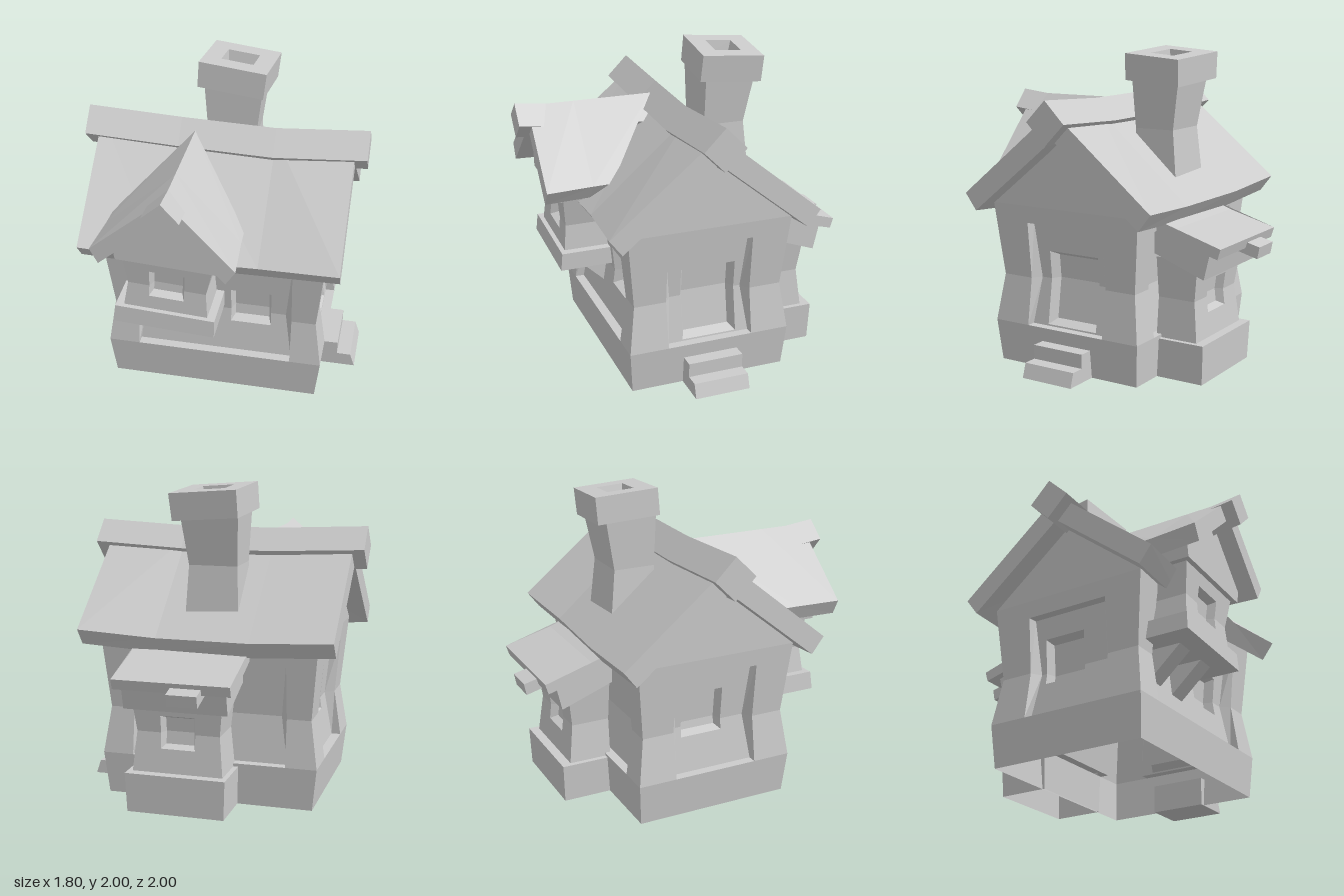
import * as THREE from 'three';

const mat = new THREE.MeshStandardMaterial({ color: 0xcccccc, flatShading: true, side: THREE.DoubleSide });

function meshFrom(name, pos) {
  const g = new THREE.BufferGeometry();
  g.setAttribute('position', new THREE.Float32BufferAttribute(pos, 3));
  g.computeVertexNormals();
  const m = new THREE.Mesh(g, mat);
  m.name = name;
  return m;
}

// Skin a row of rings of [x, y, z] points; winding is fixed by signed volume
function loft(name, rings, openStart = false) {
  const tris = [], n = rings[0].length, last = rings[rings.length - 1];
  for (let k = 0; k + 1 < rings.length; k++) {
    for (let i = 0; i < n; i++) {
      const j = (i + 1) % n, a = rings[k], b = rings[k + 1];
      tris.push([a[i], a[j], b[j]], [a[i], b[j], b[i]]);
    }
  }
  for (let i = 1; i + 1 < n; i++) {
    if (!openStart) tris.push([rings[0][0], rings[0][i + 1], rings[0][i]]);
    tris.push([last[0], last[i], last[i + 1]]);
  }
  const o = new THREE.Vector3(...rings[0][0]);
  let volume = 0;
  for (const t of tris) {
    const [a, b, c] = t.map(p => new THREE.Vector3(...p).sub(o));
    volume += a.dot(b.cross(c));
  }
  return meshFrom(name, tris.flatMap(t => (volume < 0 ? [t[0], t[2], t[1]] : t)).flat());
}

// Horizontal rectangle ring
const rect = (x0, x1, z0, z1, y) => [[x0, y, z1], [x1, y, z1], [x1, y, z0], [x0, y, z0]];
// Extrude a [z, y] outline across x
const acrossX = (name, x0, x1, outline) =>
  loft(name, [x0, x1].map(x => outline.map(([z, y]) => [x, y, z])));

// Value i of a [y, halfWidth, distance] profile at height y
function at(prof, y, i) {
  for (let k = 1; k < prof.length; k++) {
    const a = prof[k - 1], b = prof[k];
    if (y <= b[0] || k === prof.length - 1) return a[i] + (b[i] - a[i]) * (y - a[0]) / (b[0] - a[0]);
  }
}

// Curved wall facing +z with nested recesses { u0, u1, y0, y1, depth, taper }; gable adds a peak
function wall(name, prof, holes, gable) {
  const pos = [];
  const quad = (a, b, c, d) => pos.push(...a, ...b, ...c, ...a, ...c, ...d);
  const P = (u, y, inset) => [u, y, at(prof, y, 2) - inset];
  let inset = 0, y0 = prof[0][0], y1 = prof[prof.length - 1][0];
  let left = y => -at(prof, y, 1), right = y => at(prof, y, 1);
  if (gable) pos.push(...P(left(y1), y1, 0), ...P(right(y1), y1, 0), 0, gable, at(prof, y1, 2));
  const rowsOf = (a, b, extra) =>
    [...new Set([a, b, ...extra, ...prof.map(p => p[0])])].filter(y => y >= a && y <= b).sort((p, q) => p - q);

  for (const h of [...holes, null]) {
    // face around the hole
    const rows = rowsOf(y0, y1, h ? [h.y0, h.y1] : []);
    const strip = (l, r, a, b) =>
      quad(P(l(a), a, inset), P(r(a), a, inset), P(r(b), b, inset), P(l(b), b, inset));
    for (let k = 0; k + 1 < rows.length; k++) {
      const a = rows[k], b = rows[k + 1];
      if (h && a >= h.y0 && b <= h.y1) {
        strip(left, () => h.u0, a, b);
        strip(() => h.u1, right, a, b);
      } else strip(left, right, a, b);
    }
    if (!h) break;
    // returns of the hole
    const t = h.taper || 0, deep = inset + h.depth;
    const bow = y => t || Math.max(0, at(prof, h.y0, 1) - at(prof, y, 1));
    const nl = y => h.u0 + bow(y), nr = y => h.u1 - bow(y);
    const squeeze = y => Math.min(Math.max(y, h.y0 + t), h.y1 - t);
    const O = (u, y) => P(u, y, inset), I = (f, y) => P(f(squeeze(y)), squeeze(y), deep);
    const hr = rowsOf(h.y0, h.y1, []);
    for (let k = 0; k + 1 < hr.length; k++) {
      const a = hr[k], b = hr[k + 1];
      quad(O(h.u0, a), I(nl, a), I(nl, b), O(h.u0, b));
      quad(I(nr, a), O(h.u1, a), O(h.u1, b), I(nr, b));
    }
    quad(O(h.u0, h.y0), O(h.u1, h.y0), I(nr, h.y0), I(nl, h.y0));
    quad(I(nl, h.y1), I(nr, h.y1), O(h.u1, h.y1), O(h.u0, h.y1));
    inset = deep; left = nl; right = nr; y0 = h.y0 + t; y1 = h.y1 - t;
  }
  return meshFrom(name, pos);
}

const opening = (u0, u1, y0, y1, depth = 0.06, taper = 0.02) => ({ u0, u1, y0, y1, depth, taper });

function createModel() {
  const house = new THREE.Group();
  house.name = 'cottage';

  // Main body: four bowed walls with recessed panels, open underneath
  const body = new THREE.Group();
  body.name = 'body';
  body.position.z = 0.035;
  const wide = [[0, 0.67, 0.51], [0.27, 0.7, 0.53], [0.57, 0.655, 0.488], [1.04, 0.7, 0.535]];
  const narrow = wide.map(([y, x, z]) => [y, z, x]);
  const panel = u => ({ u0: -u, u1: u, y0: 0.27, y1: 0.93, depth: 0.06 });
  const sides = [
    wall('frontWall', wide, [panel(0.5), opening(0.1, 0.36, 0.48, 0.73)]),
    wall('doorWall', narrow, [panel(0.28), opening(-0.165, 0.195, 0.28, 0.75, 0.06, 0.03)], 1.5),
    wall('backWall', wide, [panel(0.5)]),
    wall('windowWall', narrow, [panel(0.28), opening(-0.2, 0.08, 0.5, 0.79)], 1.5),
  ];
  sides.forEach((w, i) => { w.rotation.y = i * Math.PI / 2; body.add(w); });
  house.add(body);

  // Sagging main roof and ridge beam
  const sag = [[0, 1], [-0.03, 0.98], [-0.035, 0.94], [0, 1]];
  for (const s of [1, -1]) {
    house.add(loft(s > 0 ? 'frontRoof' : 'backRoof', [-0.82, -0.3, 0.3, 0.8].map((x, i) =>
      [[0, 1.655], [0.68, 1.1], [0.6, 0.995], [0, 1.48]].map(([z, y]) =>
        [x, y + sag[i][0], 0.035 + s * z * sag[i][1]]))));
  }
  const diamond = r => [[r, 0], [0, r], [-r, 0], [0, -r]];
  house.add(loft('ridgeBeam', [-0.9, -0.3, 0.3, 0.88].map((x, i) =>
    diamond(0.135).map(([z, y]) => [x, 1.59 + y + sag[i][0] * 0.9, 0.03 + z + (i === 2 ? 0.02 : 0)]))));

  // Chimney with a tilted hollow cap
  house.add(loft('chimneyShaft', [
    rect(-0.19, 0.16, -0.45, -0.14, 1.1), rect(-0.17, 0.14, -0.41, -0.14, 1.5), rect(-0.19, 0.18, -0.47, -0.135, 1.83),
  ]));
  const cap = loft('chimneyCap', [
    rect(-0.215, 0.215, -0.2, 0.2, -0.085), rect(-0.22, 0.22, -0.2, 0.2, 0.085),
    rect(-0.105, 0.105, -0.085, 0.085, 0.085), rect(-0.09, 0.09, -0.07, 0.07, 0),
  ]);
  cap.position.set(0, 1.89, -0.315);
  cap.rotation.set(-0.07, -0.08, -0.08);
  house.add(cap);

  // Steps at the door
  house.add(acrossX('topStep', 0.64, 0.78, [[-0.15, 0], [0.21, 0], [0.21, 0.18], [-0.15, 0.18]]));
  house.add(loft('bottomStep', [[0.74, 0.87], [0.74, 0.9]].reverse().map(([a, b], i) =>
    rect(a, b, -0.15, 0.21, i * 0.09))));

  // Leaning bay window at the front
  const bay = new THREE.Group();
  bay.name = 'bayWindow';
  bay.position.set(-0.26, 0.68, 0);
  bay.rotation.z = -0.06;
  bay.add(loft('baySill', [rect(-0.32, 0.32, 0.44, 0.81, -0.06), rect(-0.315, 0.315, 0.44, 0.8, 0.055)]));
  const bayProf = [[0.05, 0.265, 0.77], [0.22, 0.245, 0.755], [0.44, 0.285, 0.78]];
  bay.add(wall('bayFront', bayProf, [opening(-0.11, 0.11, 0.145, 0.335, 0.05)]));
  for (const s of [-1, 1]) {
    const pts = bayProf.map(([y, x, z]) => [[s * x, y, z], [s * x, y, 0.45]]);
    const pos = [];
    for (let k = 0; k < 2; k++) {
      const [a, b] = pts[k], [d, c] = pts[k + 1];
      const q = s > 0 ? [a, b, c, a, c, d] : [a, c, b, a, d, c];
      pos.push(...q.flat());
    }
    bay.add(meshFrom('baySide', pos));
    // Support bracket
    const x = s > 0 ? 0.13 : -0.12;
    bay.add(acrossX('bracket', x - 0.058, x + 0.058, [[0.69, -0.05], [0.43, -0.05], [0.43, -0.28], [0.46, -0.27]]));
  }
  bay.add(loft('bayGable', [0.42, 0.81].map(z =>
    [[-0.315, 0.42, z], [0.315, 0.42, z], [0.33, 0.5, z], [0, 0.86, z], [-0.33, 0.5, z]])));

  // Bay roof, its rear end cut to sink into the main roof
  const rearZ = y => 0.035 + (1.66 - 0.68 - y) / 0.815 - 0.07;
  const slab = [[0, 0.97], [0.44, 0.55], [0.385, 0.455], [0, 0.83]];
  for (const s of [-1, 1]) {
    bay.add(loft('bayRoof', [
      slab.map(([x, y]) => [s * x * 0.94, y, Math.max(0.1, rearZ(y))]),
      slab.map(([x, y]) => [s * x * 0.95, y, 0.62]),
      slab.map(([x, y]) => [s * x, y, 0.92]),
    ]));
  }
  bay.add(loft('bayRidgeBeam', [[0.1, 0.82], [0.52, 0.825], [1, 0.88]].map(([z, cy]) =>
    diamond(0.113).map(([x, y]) => [x, y + cy, z]))));
  house.add(bay);

  // Lean-to at the back: plinth, walls with window, layered roof
  const annex = new THREE.Group();
  annex.name = 'annex';
  annex.position.x = 0.12;
  annex.add(loft('annexPlinth', [rect(-0.31, 0.31, -0.79, -0.46, 0), rect(-0.32, 0.32, -0.8, -0.46, 0.25)], true));
  const annexProf = [[0.24, 0.29, 0.74], [0.5, 0.265, 0.71], [0.76, 0.295, 0.745]];
  const back = wall('annexBack', annexProf, [opening(-0.11, 0.11, 0.4, 0.61, 0.05)]);
  back.rotation.y = Math.PI;
  annex.add(back);
  for (const s of [-1, 1]) {
    const pos = [];
    for (let k = 0; k < 2; k++) {
      const [[ya, xa, za], [yb, xb, zb]] = [annexProf[k], annexProf[k + 1]];
      const a = [s * xa, ya, -0.46], b = [s * xa, ya, -za], c = [s * xb, yb, -zb], d = [s * xb, yb, -0.46];
      pos.push(...(s > 0 ? [a, b, c, a, c, d] : [a, c, b, a, d, c]).flat());
    }
    annex.add(meshFrom('annexSide', pos));
  }
  annex.add(acrossX('annexRoof', -0.39, 0.35,
    [[-0.46, 1.01], [-0.61, 0.955], [-0.925, 0.87], [-0.905, 0.805], [-0.61, 0.885], [-0.46, 0.94]]));
  annex.add(acrossX('annexEaves', -0.34, 0.32,
    [[-0.46, 0.95], [-0.61, 0.895], [-0.84, 0.83], [-0.8, 0.66], [-0.46, 0.785]]));
  annex.add(acrossX('annexBeam', -0.21, -0.02,
    [[-0.78, 0.875], [-1, 0.82], [-0.985, 0.745], [-0.78, 0.8]]));
  house.add(annex);

  return house;
}

export { createModel };
